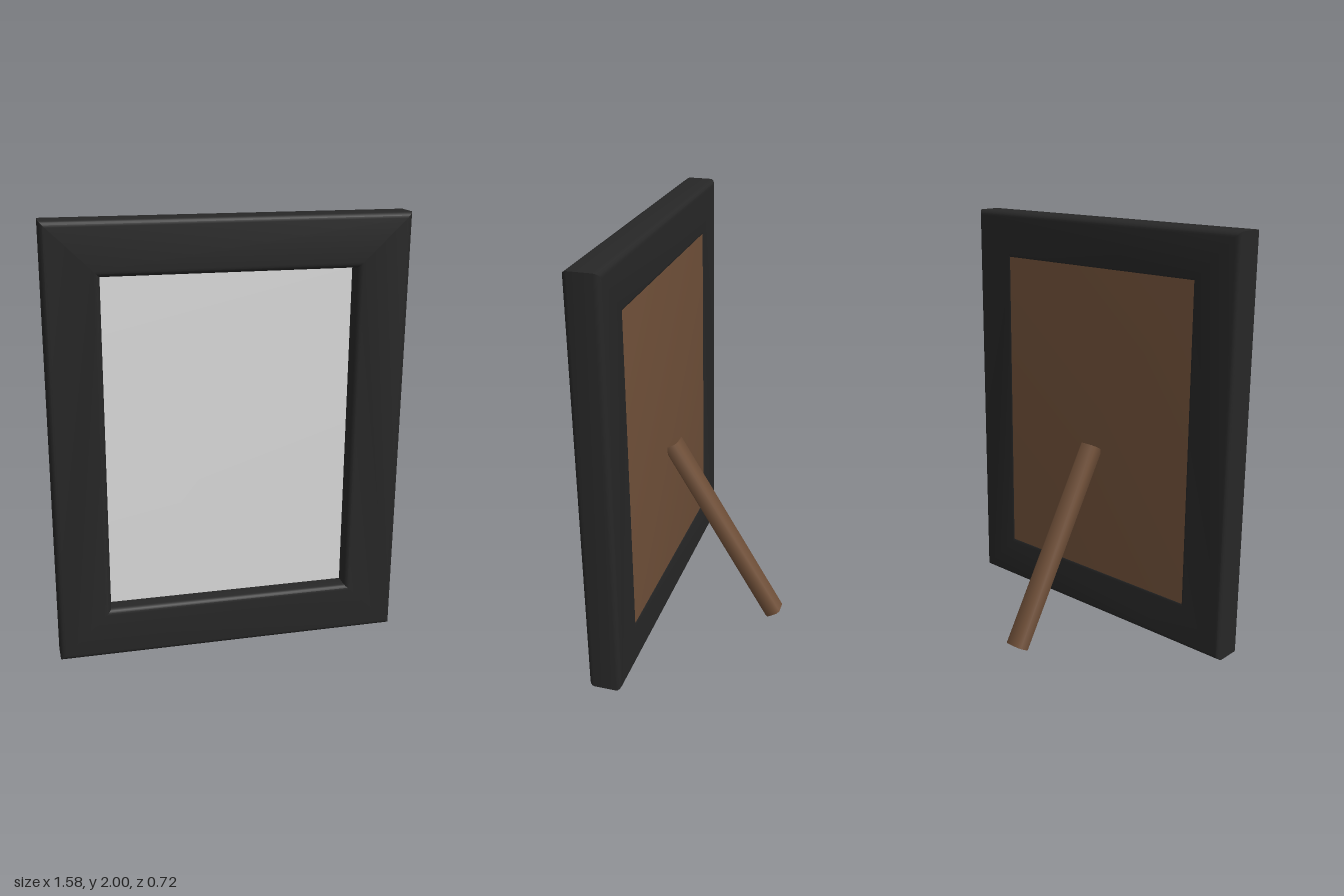
import * as THREE from 'three';
import { mergeVertices, toCreasedNormals } from 'three/addons/utils/BufferGeometryUtils.js';

const frameBlack = new THREE.MeshStandardMaterial({ name: 'frameBlack', color: 0x272727 });
const mirrorGrey = new THREE.MeshStandardMaterial({ name: 'mirrorGrey', color: 0xdcdcdc });
const woodBrown = new THREE.MeshStandardMaterial({ name: 'woodBrown', color: 0x705039 });

// Closed rectangle from half width and y range
function rectangle(Type, halfW, y0, y1) {
  return new Type([[-halfW, y0], [halfW, y0], [halfW, y1], [-halfW, y1]]
    .map(([x, y]) => new THREE.Vector2(x, y)));
}

// Box whose normals blend softly across its edges
function softBox(w, h, d) {
  const geometry = new THREE.BoxGeometry(w, h, d);
  geometry.deleteAttribute('normal');
  geometry.deleteAttribute('uv');
  const merged = mergeVertices(geometry);
  merged.computeVertexNormals();
  return merged;
}

export function createModel() {
  const model = new THREE.Group();
  model.name = 'standingMirror';
  const add = (name, geometry, material, x, y, z) => {
    const mesh = new THREE.Mesh(geometry, material);
    mesh.name = name;
    mesh.position.set(x, y, z);
    model.add(mesh);
    return mesh;
  };

  // Frame: rounded front and back rims, mitred corners
  const bevel = 0.025;
  const outline = rectangle(THREE.Shape, 0.79 - bevel, 0.03 + bevel, 2 - bevel);
  outline.holes.push(rectangle(THREE.Path, 0.553 + bevel, 0.262 - bevel, 1.768 + bevel));
  const frame = new THREE.ExtrudeGeometry(outline, {
    depth: 0.155 - 2 * bevel, bevelEnabled: true, bevelSize: bevel,
    bevelThickness: bevel, bevelSegments: 4,
  });
  add('frame', toCreasedNormals(frame, 0.6), frameBlack, 0, 0, 0.21 + bevel);

  // Recessed mirror and the back panel that closes the frame
  add('mirror', softBox(1.12, 1.52, 0.02), mirrorGrey, 0, 1.015, 0.275);
  add('backPanel', softBox(1.135, 1.53, 0.05), woodBrown, 0, 1.015, 0.237);

  // Leaning rear leg: bar with chamfered long edges
  const w = 0.048, t = 0.04, cw = 0.016, ct = 0.014;
  const section = new THREE.Shape([
    [w, -t + ct], [w, t - ct], [w - cw, t], [-w + cw, t],
    [-w, t - ct], [-w, -t + ct], [-w + cw, -t], [w - cw, -t],
  ].map(([x, y]) => new THREE.Vector2(x, y)));
  const bottom = new THREE.Vector3(0, 0.025, -0.325);
  const top = new THREE.Vector3(0, 0.911, 0.2);
  const bar = new THREE.ExtrudeGeometry(section, { depth: bottom.distanceTo(top), bevelEnabled: false });
  const leg = add('rearLeg', toCreasedNormals(bar, 0.9), woodBrown, ...bottom.toArray());
  leg.lookAt(top);

  return model;
}
